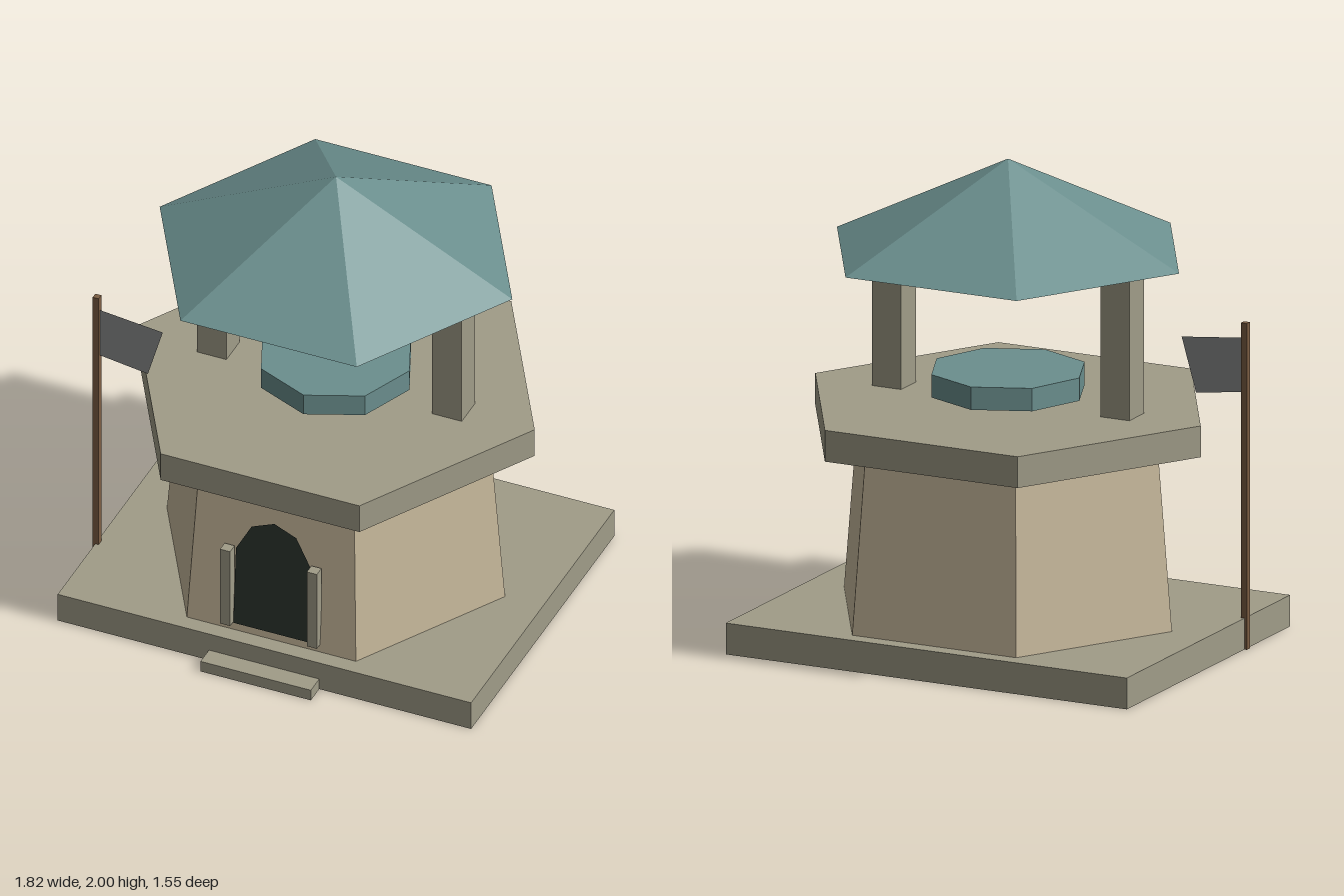
import * as THREE from 'three';

const CX = 0.005, CZ = -0.02; // axis of the tower

const paint = (color, side = THREE.FrontSide) =>
  new THREE.MeshStandardMaterial({ color, flatShading: true, side });

export function createModel() {
  const group = new THREE.Group();
  const stone = paint(0xa09c88);
  const wall = paint(0xc8b99c);
  const tile = paint(0x6b8f8e, THREE.DoubleSide);
  const dark = paint(0x2a332d, THREE.DoubleSide);
  const wood = paint(0x7c5e43);
  const cloth = paint(0x8c8e8e, THREE.DoubleSide);

  const add = (name, geometry, material) => {
    const mesh = new THREE.Mesh(geometry, material);
    mesh.name = name;
    group.add(mesh);
    return mesh;
  };
  // Box given by its limits on each axis
  const box = (name, [x0, x1], [y0, y1], [z0, z1], material) =>
    add(name, new THREE.BoxGeometry(x1 - x0, y1 - y0, z1 - z0), material)
      .position.set((x0 + x1) / 2, (y0 + y1) / 2, (z0 + z1) / 2);
  // Upright prism or cone on the tower axis
  const prism = (name, rTop, rBottom, y0, y1, sides, turn, material, open = false) => {
    const mesh = add(name, new THREE.CylinderGeometry(rTop, rBottom, y1 - y0, sides, 1, open), material);
    mesh.position.set(CX, (y0 + y1) / 2, CZ);
    mesh.rotation.y = turn;
  };
  const flat = (points) => new THREE.ShapeGeometry(
    new THREE.Shape(points.map(([x, y]) => new THREE.Vector2(x, y))));

  // Ground slab and doorstep
  box('base', [-0.9, 0.91], [0, 0.13], [-0.73, 0.69], stone);
  box('doorstep', [-0.238, 0.245], [0, 0.05], [0.66, 0.773], stone);

  // Tapered tower, platform, floating disc and open-bottomed roof
  prism('towerBody', 0.677, 0.74, 0.13, 0.87, 6, Math.PI / 6, wall);
  prism('platform', 0.87, 0.87, 0.87, 1.0, 6, Math.PI / 6, stone);
  prism('disc', 0.322, 0.322, 1.035, 1.13, 8, 0, tile);
  prism('roof', 0, 0.772, 1.62, 2.0, 6, Math.PI / 6, tile, true);

  // Pair of roof posts and pair of door jambs
  for (const s of [-1, 1]) {
    const span = (a, b) => [CX + s * a, CX + s * b].sort((p, q) => p - q);
    box('roofPost', span(0.45, 0.58), [1.0, 1.62], [-0.083, 0.047], stone);
    box('doorJamb', span(0.168, 0.212), [0.165, 0.535], [0.605, 0.65], stone);
  }

  // Arched door panel leaning with the front wall
  const door = flat([[-0.16, 0.165], [0.165, 0.165], [0.165, 0.52],
    [0.1, 0.64], [0.003, 0.68], [-0.095, 0.64], [-0.16, 0.52]]);
  const p = door.attributes.position;
  for (let i = 0; i < p.count; i++) p.setZ(i, 0.627 - 0.0737 * (p.getY(i) - 0.13));
  door.computeVertexNormals();
  add('door', door, dark);

  // Flagpole and flag
  box('flagPole', [-0.911, -0.885], [0, 1.355], [0.292, 0.318], wood);
  add('flag', flat([[-0.886, 1.065], [-0.675, 1.035], [-0.61, 1.26], [-0.886, 1.29]]), cloth)
    .position.z = 0.305;

  return group;
}
